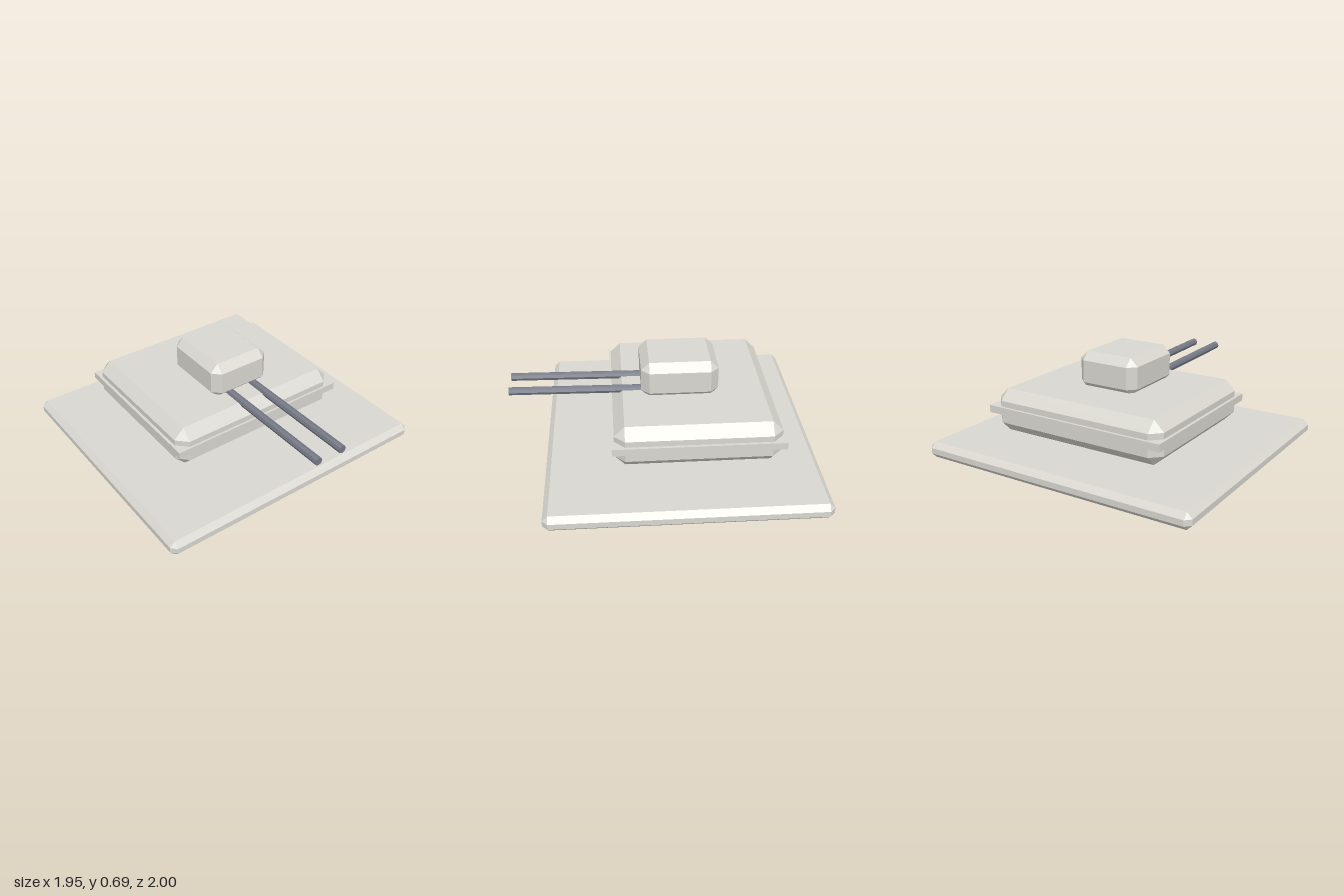
import * as THREE from 'three';
import { ConvexGeometry } from 'three/addons/geometries/ConvexGeometry.js';

// Box with every edge and corner cut flat by c, given as [min, max] on each axis
function chamferBox([x0, x1], [y0, y1], [z0, z1], c) {
  const half = [(x1 - x0) / 2, (y1 - y0) / 2, (z1 - z0) / 2];
  const mid = new THREE.Vector3(x0 + x1, y0 + y1, z0 + z1).multiplyScalar(0.5);
  const points = [];
  for (const sx of [-1, 1]) for (const sy of [-1, 1]) for (const sz of [-1, 1]) {
    for (let axis = 0; axis < 3; axis++) {
      const [x, y, z] = half.map((h, i) => (i === axis ? h : h - c));
      points.push(new THREE.Vector3(sx * x, sy * y, sz * z).add(mid));
    }
  }
  return new ConvexGeometry(points);
}

export function createModel() {
  const grey = new THREE.MeshStandardMaterial({ color: 0xd9d7d0 });
  grey.name = 'pale warm grey armour';
  const steel = new THREE.MeshStandardMaterial({ color: 0x767a86 });
  steel.name = 'blue grey gunmetal';

  const model = new THREE.Group();
  model.name = 'gunTurret';
  const add = (name, geometry, material) => {
    const mesh = new THREE.Mesh(geometry, material);
    mesh.name = name;
    model.add(mesh);
    return mesh;
  };

  // Stacked armour blocks
  add('basePlate', chamferBox([-0.973, 0.973], [0, 0.108], [-1, 0.77], 0.035), grey);
  add('body', chamferBox([-0.618, 0.618], [0.178, 0.461], [-0.735, 0.326], 0.068), grey);
  add('upperHousing', chamferBox([-0.217, 0.217], [0.435, 0.687], [-0.37, 0.135], 0.053), grey);

  // Square-edged belt around the body
  const belt = add('belt', new THREE.BoxGeometry(1.275, 0.048, 1.093), grey);
  belt.position.set(0, 0.33, -0.206);

  // Twin barrels, raised very slightly towards the muzzle
  const start = new THREE.Vector3(0, 0.459, 0.05);
  const end = new THREE.Vector3(0, 0.471, 1);
  const direction = end.clone().sub(start);
  const barrelGeometry = new THREE.CylinderGeometry(0.027, 0.027, direction.length(), 8).toNonIndexed();
  barrelGeometry.computeVertexNormals();
  for (const side of [-1, 1]) {
    const barrel = add(side > 0 ? 'leftBarrel' : 'rightBarrel', barrelGeometry, steel);
    barrel.position.copy(start).add(end).multiplyScalar(0.5);
    barrel.position.x = side * 0.093;
    barrel.quaternion.setFromUnitVectors(new THREE.Vector3(0, 1, 0), direction.clone().normalize());
  }
  return model;
}
